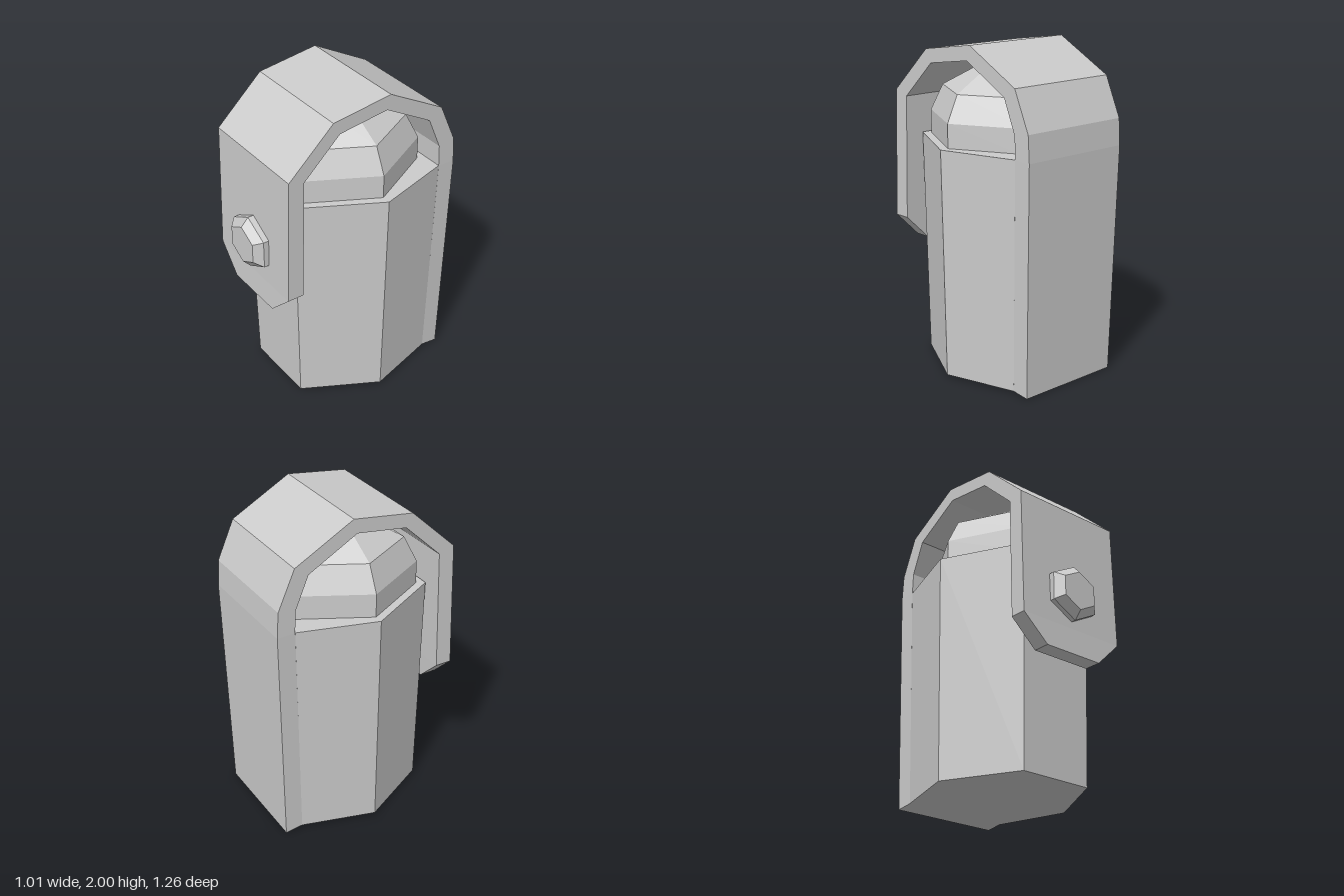
import * as THREE from 'three';

const material = new THREE.MeshStandardMaterial({ color: 0xcccccc, flatShading: true });

function addMesh(group, name, geometry) {
  const flat = geometry.index ? geometry.toNonIndexed() : geometry;
  flat.computeVertexNormals();
  const mesh = new THREE.Mesh(flat, material);
  mesh.name = name;
  group.add(mesh);
  return mesh;
}

// Six-sided solid from a [radius, height] profile
function hexSolid(profile, start) {
  return new THREE.LatheGeometry(profile.map(([r, y]) => new THREE.Vector2(r, y)), 6, start);
}

// Band swept through stations [half width, outer z, outer y, inner z, inner y]
function bandGeometry(stations) {
  const rings = stations.map(([w, oz, oy, iz, iy]) => [[-w, oy, oz], [w, oy, oz], [w, iy, iz], [-w, iy, iz]]);
  const positions = [];
  const quad = (a, b, c, d) => positions.push(...a, ...b, ...c, ...a, ...c, ...d);
  for (let i = 0; i < rings.length - 1; i++) {
    for (let k = 0; k < 4; k++) {
      const n = (k + 1) % 4;
      quad(rings[i][k], rings[i][n], rings[i + 1][n], rings[i + 1][k]);
    }
  }
  quad(...[...rings[0]].reverse());
  quad(...rings[rings.length - 1]);
  const geometry = new THREE.BufferGeometry();
  geometry.setAttribute('position', new THREE.Float32BufferAttribute(positions, 3));
  return geometry;
}

export function createModel() {
  const group = new THREE.Group();
  group.name = 'strappedPouch';

  // Tapered pouch body, its back corners spread to the width of the strap
  const body = hexSolid([[0, 0.013], [0.475, 0.013], [0.505, 1.405], [0, 1.405]], Math.PI / 6);
  const corners = body.attributes.position;
  for (let i = 0; i < corners.count; i++) {
    if (corners.getZ(i) < -0.1) corners.setX(i, corners.getX(i) * 1.453);
  }
  body.scale(1, 1, 1.085).translate(0, 0, -0.045);
  addMesh(group, 'body', body);

  // Domed contents rising out of the body
  const dome = hexSolid([[0.45, 1.39], [0.45, 1.55], [0.376, 1.71], [0.154, 1.84], [0, 1.84]], Math.PI / 6);
  dome.scale(1, 1, 1.09).translate(0, 0, -0.045);
  addMesh(group, 'dome', dome);

  // Strap from the chamfered front flap, over the top and down the back
  addMesh(group, 'strap', bandGeometry([
    [0.20, 0.566, 0.715, 0.46, 0.715],
    [0.367, 0.558, 0.875, 0.455, 0.875],
    [0.367, 0.537, 1.67, 0.437, 1.64],
    [0.367, 0.243, 1.945, 0.2, 1.865],
    [0.367, -0.143, 2.0, -0.12, 1.91],
    [0.367, -0.515, 1.8, -0.43, 1.74],
    [0.367, -0.622, 1.56, -0.515, 1.54],
    [0.367, -0.632, 1.4, -0.52, 1.405],
    [0.345, -0.602, 0, -0.491, 0.013],
  ]));

  // Bevelled hexagonal button on the flap
  const button = hexSolid([[0, 0.53], [0.173, 0.53], [0.173, 0.585], [0.122, 0.632], [0, 0.632]], 0);
  button.scale(1.08, 1, 1).rotateX(Math.PI / 2).translate(0, 1.093, 0);
  addMesh(group, 'button', button);

  return group;
}
